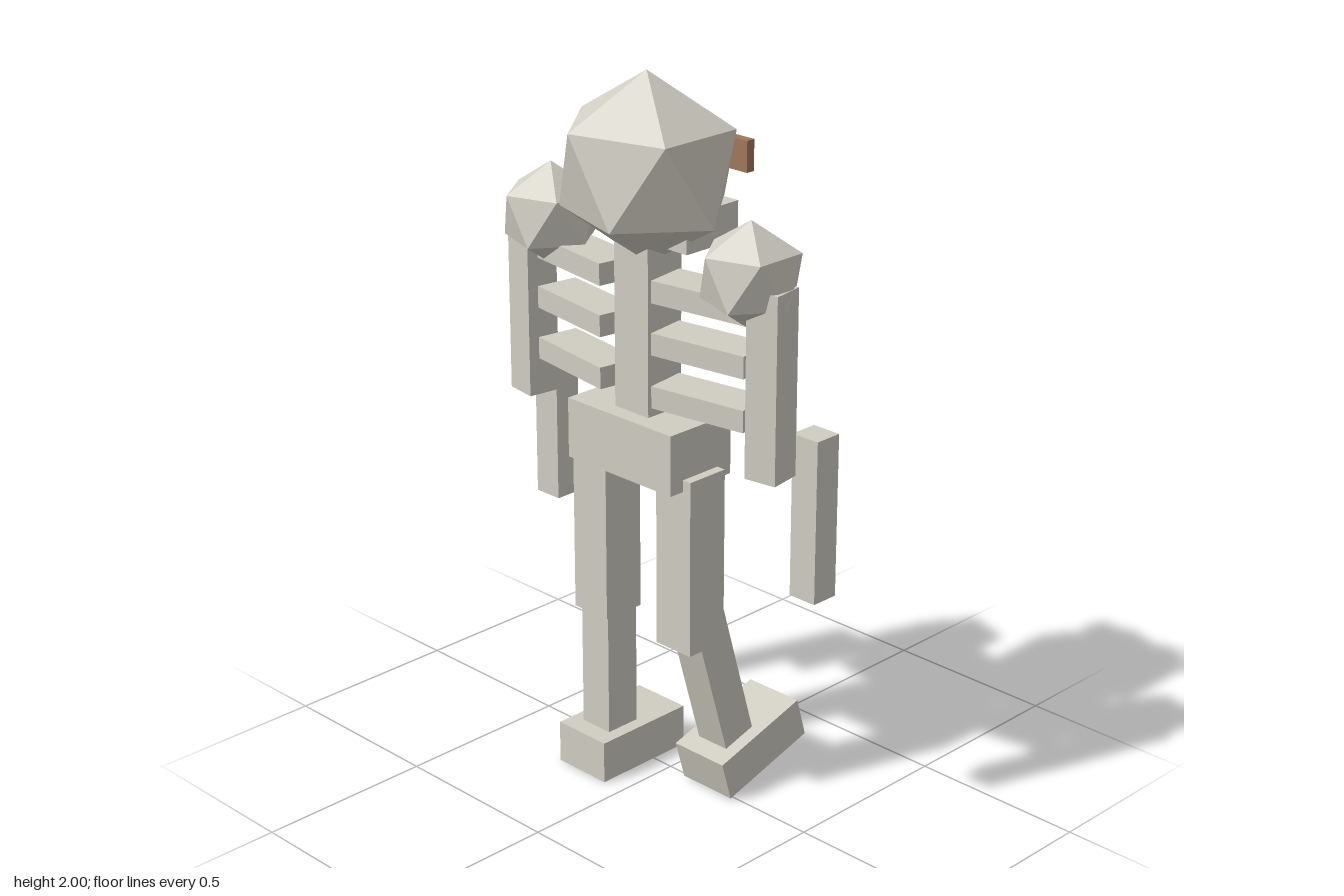
import * as THREE from 'three';

const bone = new THREE.MeshStandardMaterial({ name: 'bone', color: 0xd0cdc2, flatShading: true });
const eyeBrown = new THREE.MeshStandardMaterial({ name: 'eyeBrown', color: 0xa1775b, flatShading: true });

const CX = -0.085; // the body's central axis in x; the figure looks towards +x

export function createModel() {
  const model = new THREE.Group();
  model.name = 'skeleton';

  function box(name, size, pos, parent = model, material = bone) {
    const mesh = new THREE.Mesh(new THREE.BoxGeometry(...size), material);
    mesh.name = name;
    mesh.position.set(...pos);
    parent.add(mesh);
    return mesh;
  }

  // Icosahedron standing on one corner, with an upper-ring corner towards -z
  function ball(name, radii, pos) {
    const geo = new THREE.IcosahedronGeometry(1, 0);
    geo.rotateX(-Math.atan2(1 + Math.sqrt(5), 2));
    geo.rotateY(Math.PI);
    geo.scale(...radii);
    const mesh = new THREE.Mesh(geo, bone);
    mesh.name = name;
    mesh.position.set(...pos);
    model.add(mesh);
  }

  // Head and trunk
  ball('head', [0.238, 0.252, 0.264], [CX, 1.748, 0]);
  box('jaw', [0.185, 0.103, 0.313], [-0.01, 1.609, 0.002]);
  box('spine', [0.12, 0.5, 0.122], [CX, 1.35, 0.002]);
  box('pelvis', [0.22, 0.167, 0.38], [CX + 0.002, 1.021, 0.002]);

  for (const [side, s] of [['left', 1], ['right', -1]]) {
    // Eyes
    box(side + 'Eye', [0.026, 0.084, 0.088], [0.131, 1.765, s * 0.11], model, eyeBrown);

    // Ribs, swept slightly forward towards their outer ends
    for (const y of [1.46, 1.32, 1.176]) {
      box(side + 'Rib', [0.12, 0.06, 0.285], [CX + 0.001, y, s * 0.226]).rotation.y = s * 0.15;
    }

    // Arms
    ball(side + 'Shoulder', [0.143, 0.142, 0.141], [CX + 0.002, 1.549, s * 0.36]);
    box(side + 'UpperArm', [0.092, 0.5, 0.092], [CX, 1.284, s * 0.436]).rotation.y = s * 0.15;
    box(side + 'Forearm', [0.08, 0.45, 0.085], [0.035, 0.905, s * 0.48]);

    // Legs
    box(side + 'Thigh', [0.127, 0.497, 0.124], [CX, 0.722, s * 0.157]);
    const lowerLeg = new THREE.Group();
    lowerLeg.name = side + 'LowerLeg';
    box(side + 'Shin', [0.106, 0.5, 0.102], [-0.046, 0.25, 0], lowerLeg);
    box(side + 'Foot', [0.309, 0.12, 0.177], [0, 0, 0], lowerLeg);
    if (s > 0) {
      // this leg swings forward with its toes up
      lowerLeg.position.set(0.115, 0.106, 0.158);
      lowerLeg.rotation.z = 0.284;
    } else {
      lowerLeg.position.set(-0.037, 0.06, -0.155);
    }
    model.add(lowerLeg);
  }

  return model;
}
